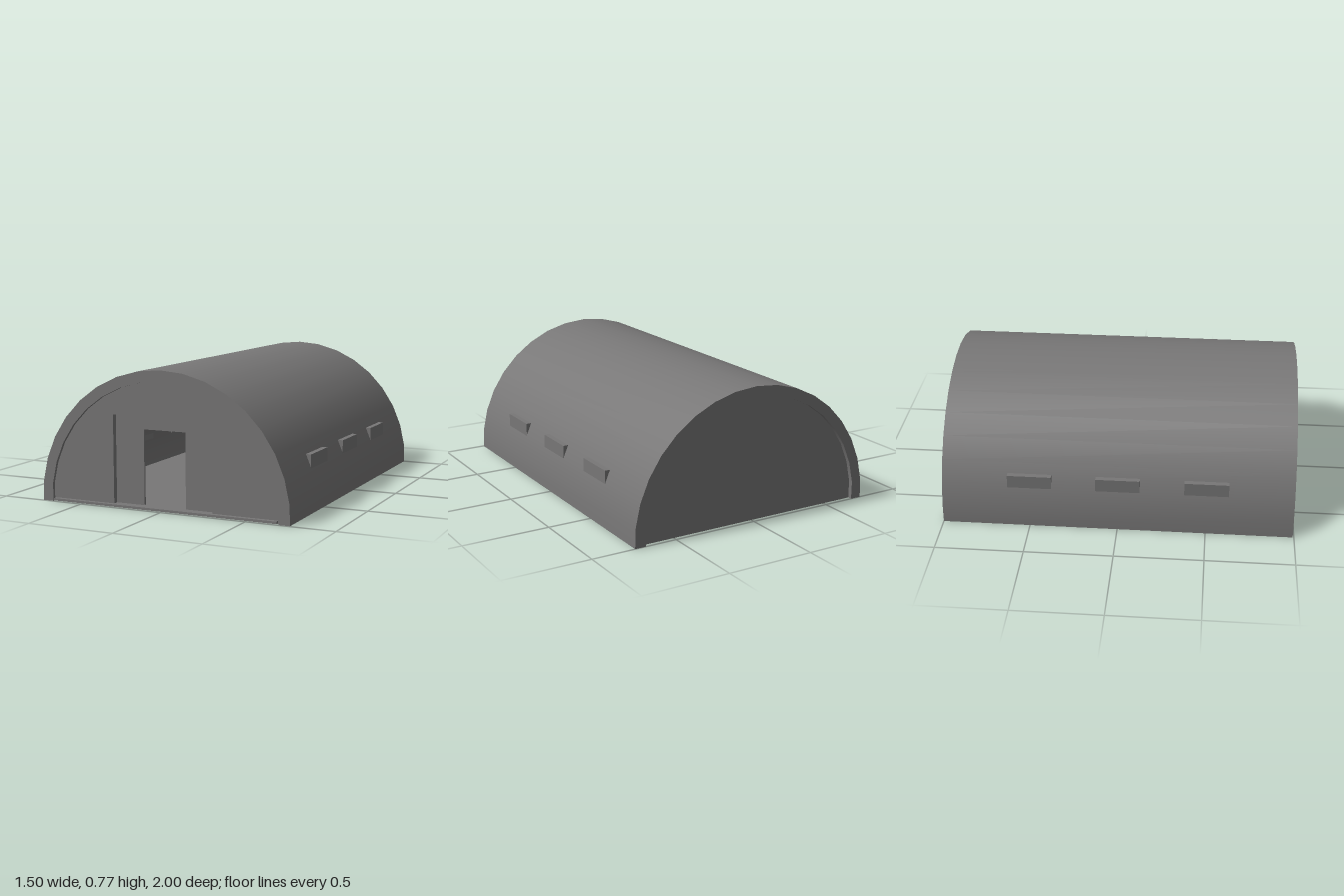
import * as THREE from 'three';
import { toCreasedNormals } from 'three/addons/utils/BufferGeometryUtils.js';

const CENTER_Y = 0.016;
const START = THREE.MathUtils.degToRad(7.2);
const STEPS = 16;

// Arch outline from the right foot over the top to the left foot
function archPoints(radius, halfWidth, footY = 0) {
  const pts = [new THREE.Vector2(halfWidth, footY)];
  for (let i = 0; i <= STEPS; i++) {
    const a = START + (Math.PI - 2 * START) * i / STEPS;
    pts.push(new THREE.Vector2(Math.cos(a) * radius, CENTER_Y + Math.sin(a) * radius));
  }
  pts.push(new THREE.Vector2(-halfWidth, footY));
  return pts;
}

// Door-shaped notch cut up from the ground line, left to right
function notch(halfWidth, height) {
  return [[-halfWidth, 0], [-halfWidth, height], [halfWidth, height], [halfWidth, 0]]
    .map(([x, y]) => new THREE.Vector2(x, y));
}

export function createModel() {
  const group = new THREE.Group();
  const grey = new THREE.MeshStandardMaterial({ color: 0x787777 });
  grey.name = 'concreteGrey';

  const add = (name, geometry) => {
    const mesh = new THREE.Mesh(geometry, grey);
    mesh.name = name;
    group.add(mesh);
    return mesh;
  };
  const extrude = (points, back, front) => {
    const geo = new THREE.ExtrudeGeometry(new THREE.Shape(points),
      { depth: front - back, bevelEnabled: false });
    return toCreasedNormals(geo.translate(0, 0, back), 0.5);
  };

  const outer = archPoints(0.751, 0.748);
  const inner = archPoints(0.69, 0.684);

  // Thick vaulted shell, open at both ends
  add('vaultedShell', extrude([...outer, ...inner.slice().reverse()], -1, 0.993));

  // End walls set back inside the shell
  add('backWall', extrude(inner, -0.975, -0.945));
  add('frontWall', extrude([...inner, ...notch(0.3, 0.512)], 0.945, 0.975));

  // Recessed panel with the open doorway
  const panel = [[0.32, 0], [0.32, 0.53], [-0.32, 0.53], [-0.32, 0]]
    .map(([x, y]) => new THREE.Vector2(x, y));
  add('doorPanel', extrude([...panel, ...notch(0.126, 0.436)], 0.933, 0.945));

  // Floor slab reaching out to the front edge
  add('floor', new THREE.BoxGeometry(1.35, 0.013, 1.97)).position.set(0, 0.0115, 0.015);

  // Three window blocks on each side, standing slightly out of the curve
  for (const side of [-1, 1]) {
    for (const z of [-0.5, 0, 0.5]) {
      const block = add('sideWindow', new THREE.BoxGeometry(0.06, 0.12, 0.25));
      block.position.set(side * 0.688, 0.25, z);
    }
  }
  return group;
}
